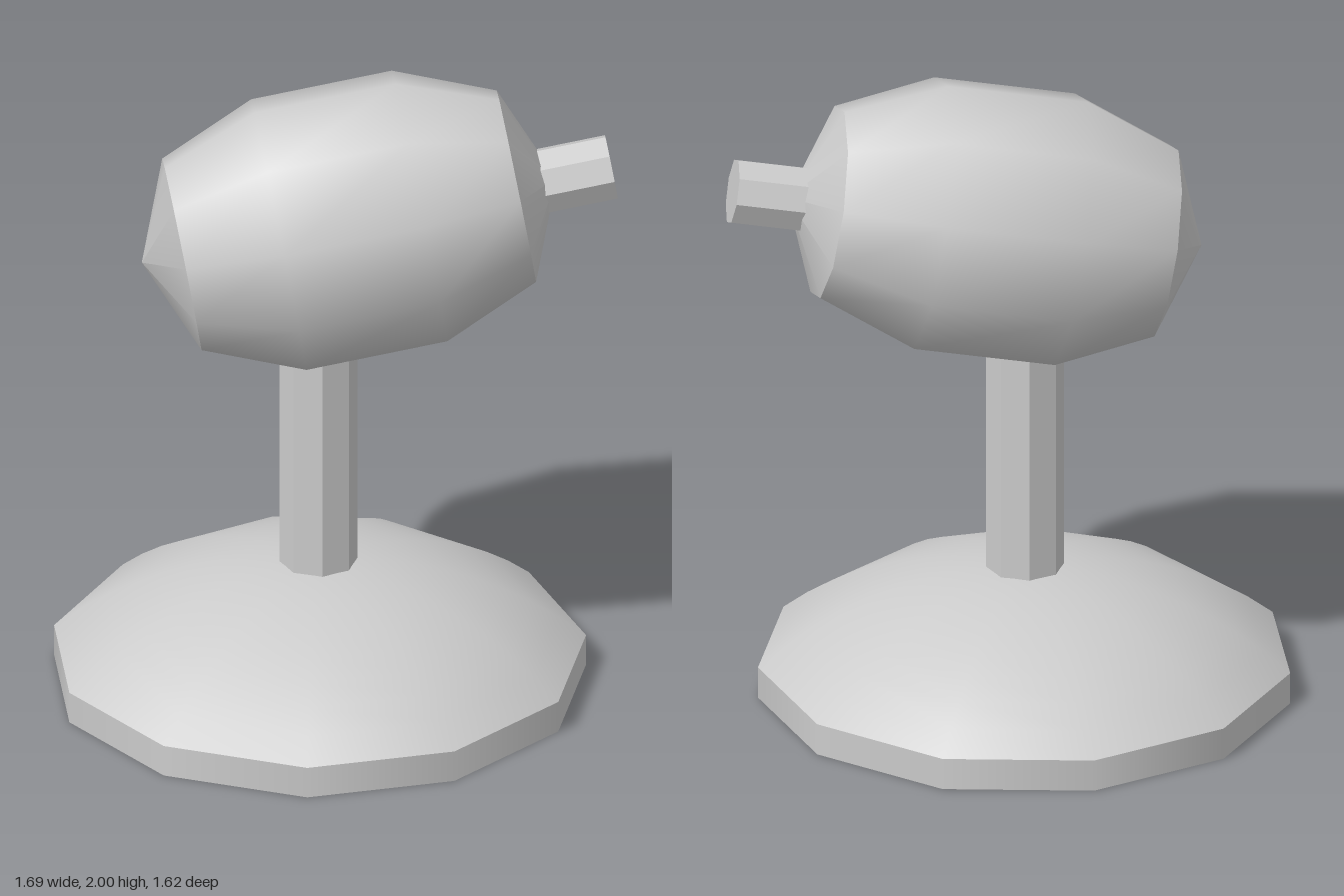
import * as THREE from 'three';

const grey = new THREE.MeshStandardMaterial({ color: 0xcccccc });
const greyFlat = new THREE.MeshStandardMaterial({ color: 0xcccccc, flatShading: true });

// Smooth solid of revolution; the profile runs upwards as [radius, height] pairs
function lathe(name, profile, sides) {
  const points = profile.map(([r, y]) => new THREE.Vector2(r, y));
  const mesh = new THREE.Mesh(new THREE.LatheGeometry(points, sides, Math.PI / 2), grey);
  mesh.name = name;
  return mesh;
}

// Faceted eight-sided rod between two heights
function rod(name, radius, from, to) {
  const mesh = new THREE.Mesh(new THREE.CylinderGeometry(radius, radius, to - from, 8), greyFlat);
  mesh.position.y = (from + to) / 2;
  mesh.name = name;
  return mesh;
}

export function createModel() {
  const model = new THREE.Group();
  model.name = 'barrelOnStand';

  // Stand: eleven-sided foot, shallow dome and post
  const stand = new THREE.Group();
  stand.name = 'stand';
  stand.position.x = -0.066;
  const R = 0.816, rim = 0.1, top = 0.405;
  const rise = top - rim;
  const arc = (R * R + rise * rise) / (2 * rise);
  const dome = [];
  for (let i = 0; i <= 10; i++) {
    const r = R * (1 - i / 10);
    dome.push([r, top - arc + Math.sqrt(arc * arc - r * r)]);
  }
  stand.add(
    lathe('footUnderside', [[0, 0], [R, 0]], 11),
    lathe('footRim', [[R, 0], [R, rim]], 11),
    lathe('footDome', dome, 11),
    rod('post', 0.119, 0.36, 1.3)
  );
  model.add(stand);

  // Head: ten-sided barrel tilted ten degrees up, with coned ends and a nozzle
  const head = new THREE.Group();
  head.name = 'head';
  head.position.set(0.0275, 1.545, 0);
  head.rotation.z = -THREE.MathUtils.degToRad(80);
  const end = [0.3, 0.518], belly = [0.424, 0.218], tip = 0.642;
  head.add(
    lathe('barrel', [[end[0], -end[1]], [belly[0], -belly[1]], belly, end], 10),
    lathe('frontCap', [end, [0, tip]], 10),
    lathe('rearCap', [[0, -tip], [end[0], -end[1]]], 10),
    rod('nozzle', 0.103, 0.55, 0.812)
  );
  model.add(head);

  return model;
}
